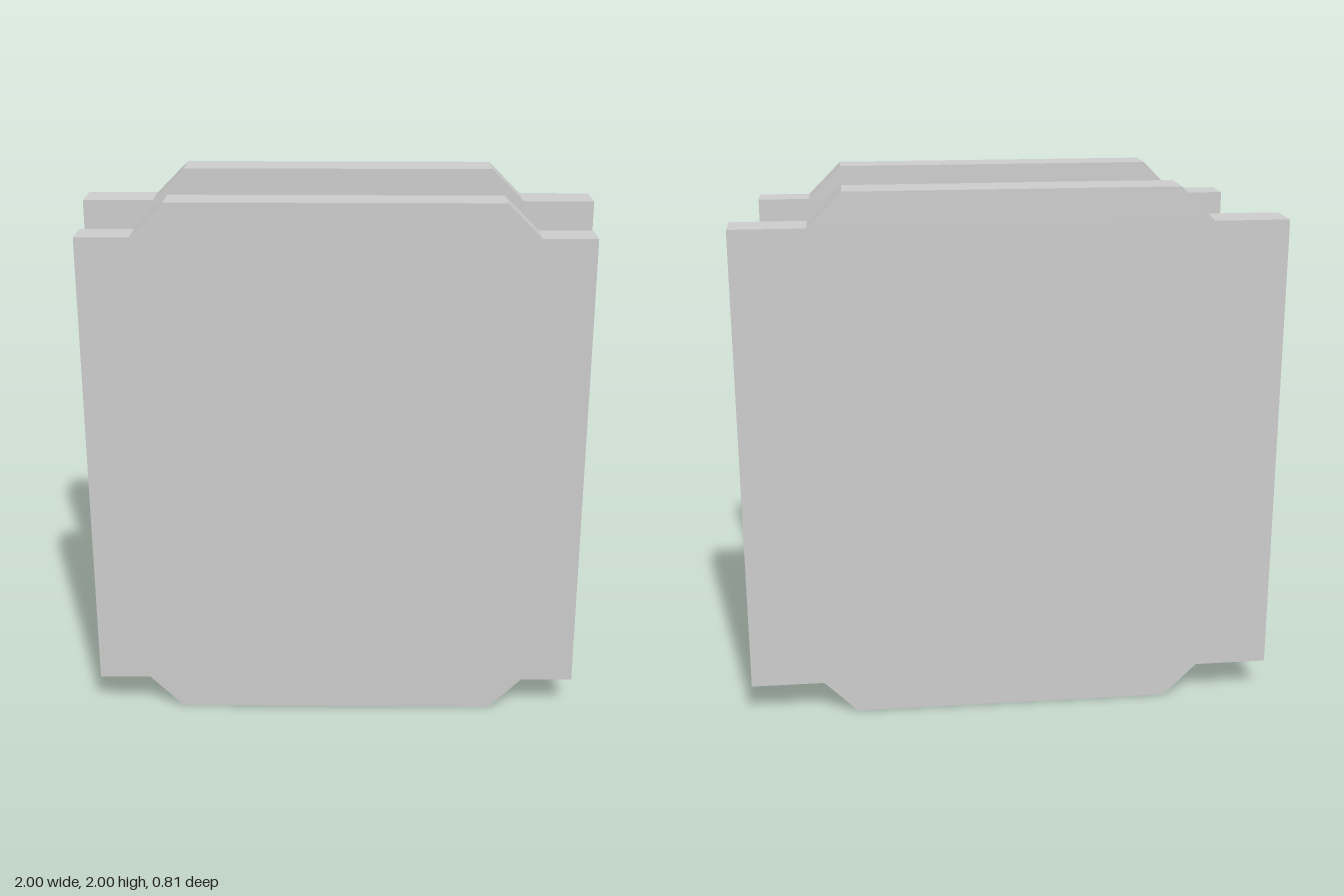
import * as THREE from 'three';

const material = new THREE.MeshStandardMaterial({ color: 0xcccccc, flatShading: true });

// Flat plate with a raised, chamfered middle section on its top and bottom edges
function makePlate(name, halfWidth, zBack, zFront) {
  const right = [[halfWidth, -0.875], [halfWidth, 0.875], [0.725, 0.875], [0.6, 1]];
  const outline = [
    [0.6, -1], [0.725, -0.875], ...right,
    [-0.6, 1], [-0.725, 0.875], ...right.slice(0, 2).map(([x, y]) => [-x, -y]),
    [-0.725, -0.875], [-0.6, -1],
  ].map(([x, y]) => new THREE.Vector2(x, y));
  const geometry = new THREE.ExtrudeGeometry(new THREE.Shape(outline), {
    depth: zFront - zBack,
    bevelEnabled: false,
  });
  const plate = new THREE.Mesh(geometry, material);
  plate.name = name;
  plate.position.set(0, 1, zBack);
  return plate;
}

export function createModel() {
  const group = new THREE.Group();
  group.name = 'spool';

  group.add(makePlate('frontPlate', 0.92, 0.27, 0.405));
  group.add(makePlate('backPlate', 1, -0.405, -0.245));

  // Waisted core between the plates: [radius, z]
  const profile = [
    [0.87, -0.245], [0.80, -0.14], [0.762, -0.07], [0.73, 0.01],
    [0.724, 0.08], [0.735, 0.17], [0.87, 0.27],
  ].map(([r, z]) => new THREE.Vector2(r, z));
  const core = new THREE.Mesh(new THREE.LatheGeometry(profile, 24).rotateX(Math.PI / 2), material);
  core.name = 'core';
  core.position.y = 1;
  group.add(core);

  return group;
}
